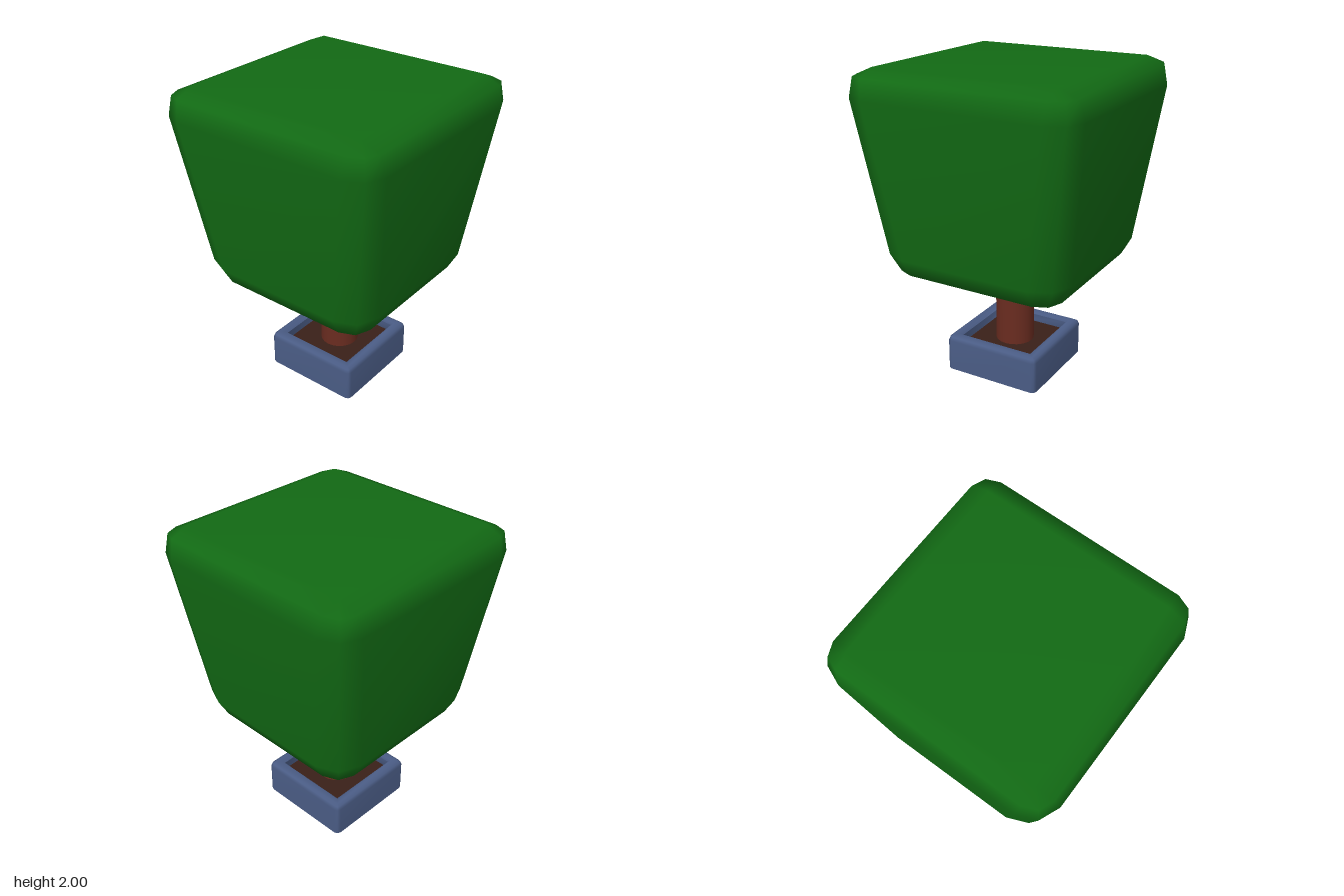
import * as THREE from 'three';
import { mergeVertices } from 'three/addons/utils/BufferGeometryUtils.js';

// Loft through rounded-square rings [halfWidth, cornerRadius, y], with optional end caps
function loft(rings, capStart, capEnd) {
  const n = 12;
  const pos = [];
  const idx = [];
  for (const [w, r, y] of rings) {
    for (let c = 0; c < 4; c++) {
      const mid = Math.PI / 4 + c * Math.PI / 2;
      for (let k = -1; k <= 1; k++) {
        const a = mid + k * Math.PI / 4;
        const x = Math.sign(Math.cos(mid)) * (w - r) + r * Math.cos(a);
        const z = Math.sign(Math.sin(mid)) * (w - r) + r * Math.sin(a);
        pos.push(x, y, -z);
      }
    }
  }
  for (let j = 0; j < rings.length - 1; j++) {
    for (let i = 0; i < n; i++) {
      const a = j * n + i, b = j * n + (i + 1) % n;
      idx.push(a, b, b + n, a, b + n, a + n);
    }
  }
  const cap = (j, up) => {
    const centre = pos.length / 3;
    pos.push(0, rings[j][2], 0);
    for (let i = 0; i < n; i++) {
      const a = j * n + i, b = j * n + (i + 1) % n;
      if (up) idx.push(centre, a, b);
      else idx.push(centre, b, a);
    }
  };
  if (capStart) cap(0, false);
  if (capEnd) cap(rings.length - 1, true);
  let g = new THREE.BufferGeometry();
  g.setAttribute('position', new THREE.Float32BufferAttribute(pos, 3));
  g.setIndex(idx);
  g = mergeVertices(g, 1e-4);
  g.computeVertexNormals();
  return g;
}

export function createModel() {
  const model = new THREE.Group();
  model.name = 'pottedTree';
  const material = (color) => new THREE.MeshStandardMaterial({ color });
  const add = (name, geometry, mat, parent = model) => {
    const mesh = new THREE.Mesh(geometry, mat);
    mesh.name = name;
    parent.add(mesh);
    return mesh;
  };

  // Square planter: bevelled outer shell, inner wall, flat underside, soil
  const planter = new THREE.Group();
  planter.name = 'planter';
  model.add(planter);
  const stone = material(0x4a5c85);
  add('planterShell', loft([
    [0.325, 0.03, 0], [0.325, 0.03, 0.205], [0.315, 0.02, 0.228],
    [0.295, 0, 0.238], [0.265, 0, 0.238], [0.25, 0, 0.225],
  ]), stone, planter);
  add('planterInnerWall', loft([[0.25, 0, 0.225], [0.245, 0, 0.15]]), stone, planter);
  add('planterUnderside', loft([[0.325, 0.03, 0]], true), stone, planter);
  add('soil', loft([[0.248, 0, 0.175]], false, true), material(0x3a2018), planter);

  // Round trunk
  const trunk = add('trunk', new THREE.CylinderGeometry(0.125, 0.125, 0.6, 20), material(0x6a2c20));
  trunk.position.y = 0.45;

  // Clipped crown: a rounded block, wider at the top
  add('foliage', loft([
    [0.425, 0, 0.68], [0.555, 0.13, 0.73], [0.62, 0.19, 0.85],
    [0.742, 0.167, 1.83], [0.71, 0.118, 1.952], [0.595, 0, 2],
  ], true, true), material(0x126a14));

  return model;
}
